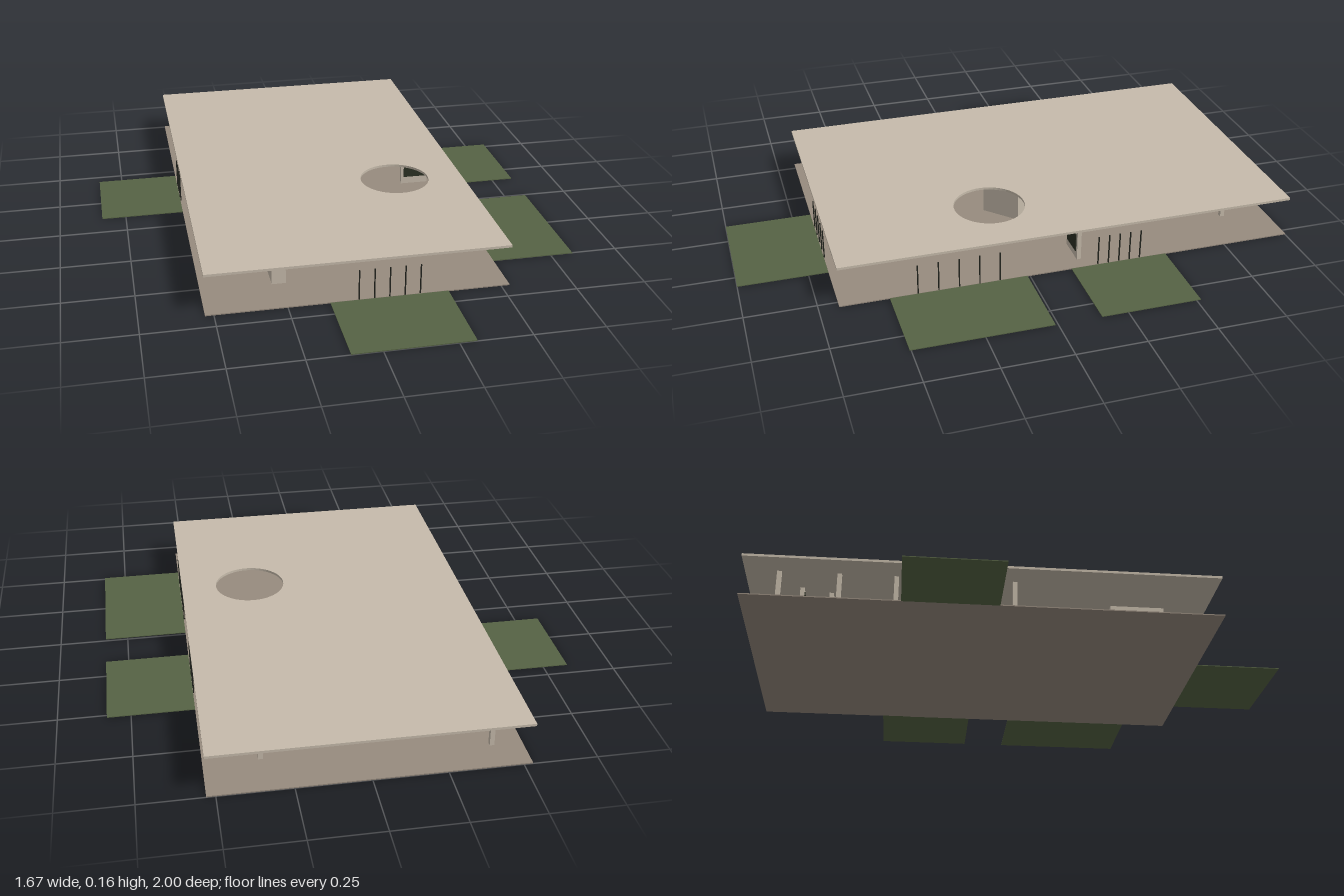
import * as THREE from 'three';

const mat = (name, color, side = THREE.FrontSide) => {
  const m = new THREE.MeshStandardMaterial({ color, side });
  m.name = name;
  return m;
};

export function createModel() {
  const model = new THREE.Group();
  model.name = 'pavilion';
  const stone = mat('pale stone', 0xc6bbab);
  const paving = mat('brown paving', 0x978b7e);
  const grass = mat('grass green', 0x566344);
  const dark = mat('dark metal', 0x22241e);
  const picture = mat('picture green', 0x2c3024);
  const shrub = mat('shrub green', 0x56694a);

  const add = (name, geo, material, x, y, z, parent = model) => {
    const m = new THREE.Mesh(geo, material);
    m.name = name;
    m.position.set(x, y, z);
    parent.add(m);
    return m;
  };
  // box standing on height y
  const box = (name, w, h, d, material, x, y, z, parent) =>
    add(name, new THREE.BoxGeometry(w, h, d), material, x, y + h / 2, z, parent);

  // floor slab
  box('floor', 1.06, 0.004, 1.68, paving, 0, 0, -0.16);

  // roof slab with a round skylight
  const roof = new THREE.Shape([
    new THREE.Vector2(-0.53, -0.68), new THREE.Vector2(0.53, -0.68),
    new THREE.Vector2(0.53, 1), new THREE.Vector2(-0.53, 1),
  ]);
  const hole = new THREE.Path();
  hole.absarc(0.27, -0.075, 0.13, 0, Math.PI * 2, true);
  roof.holes.push(hole);
  const roofGeo = new THREE.ExtrudeGeometry(roof, { depth: 0.009, bevelEnabled: false, curveSegments: 24 });
  roofGeo.rotateX(-Math.PI / 2);
  add('roof', roofGeo, stone, 0, 0.148, 0);

  // lawns, each with a row of five thin bars along the floor edge
  const lawns = [
    { x: 0.1025, z: 0.84, w: 0.415, d: 0.32, front: true },
    { x: 0.68, z: 0.2575, w: 0.305, d: 0.495 },
    { x: 0.68, z: -0.335, w: 0.305, d: 0.36 },
    { x: -0.685, z: -0.28, w: 0.31, d: 0.34 },
  ];
  for (const l of lawns) {
    box('lawn', l.w, 0.003, l.d, grass, l.x, 0, l.z);
    const span = (l.front ? l.w : l.d) - 0.2;
    for (let i = 0; i < 5; i++) {
      const t = (i / 4 - 0.5) * span;
      const x = l.front ? l.x + t : Math.sign(l.x) * 0.528;
      const z = l.front ? 0.678 : l.z + t;
      box('screenBar', 0.004, 0.112, 0.004, dark, x, 0.004, z);
    }
  }

  // columns
  for (const z of [-0.88, -0.67, -0.47, -0.26, -0.05])
    box('column', 0.016, 0.144, 0.016, stone, -0.425, 0.004, z);
  box('column', 0.016, 0.144, 0.016, stone, 0.34, 0.004, -0.83);

  // full-height wall
  box('wall', 0.05, 0.144, 0.2, stone, -0.255, 0.004, 0.42);

  // block turned to the corner, with a picture on one face
  const block = new THREE.Group();
  block.name = 'turnedBlock';
  block.position.set(0.05, 0, -0.0725);
  block.rotation.y = -Math.PI / 4;
  model.add(block);
  box('block', 0.149, 0.131, 0.149, stone, 0, 0.004, 0, block);
  box('blockPicture', 0.095, 0.09, 0.004, picture, 0, 0.03, 0.0755, block);

  // freestanding display panels
  const panels = [
    [0.425, -0.2, 0.11, 0.117], [-0.285, -0.7, 0.11, 0.115], [-0.125, -0.62, 0.1, 0.112],
    [0.13, -0.8, 0.11, 0.112], [-0.36, -0.8, 0.05, 0.108],
  ];
  for (const [x, z, w, h] of panels) {
    box('displayPanel', w, h, 0.015, stone, x, 0.004, z);
    box('panelPicture', w * 0.8, h * 0.58, 0.004, picture, x, 0.033, z + 0.0085);
  }

  // dark hanging screens
  for (const [x, z, a] of [[-0.165, 0.19, 0.1], [-0.145, 0.13, -0.2]])
    box('hangingScreen', 0.015, 0.073, 0.06, dark, x, 0.042, z).rotation.y = a;

  // low planting
  const dome = new THREE.SphereGeometry(1, 24, 10, 0, Math.PI * 2, 0, Math.PI / 2);
  add('mound', dome, shrub, 0.235, 0.004, 0.06).scale.set(0.058, 0.013, 0.058);
  add('smallMound', dome, dark, -0.1, 0.004, 0.33).scale.set(0.04, 0.012, 0.022);

  return model;
}
